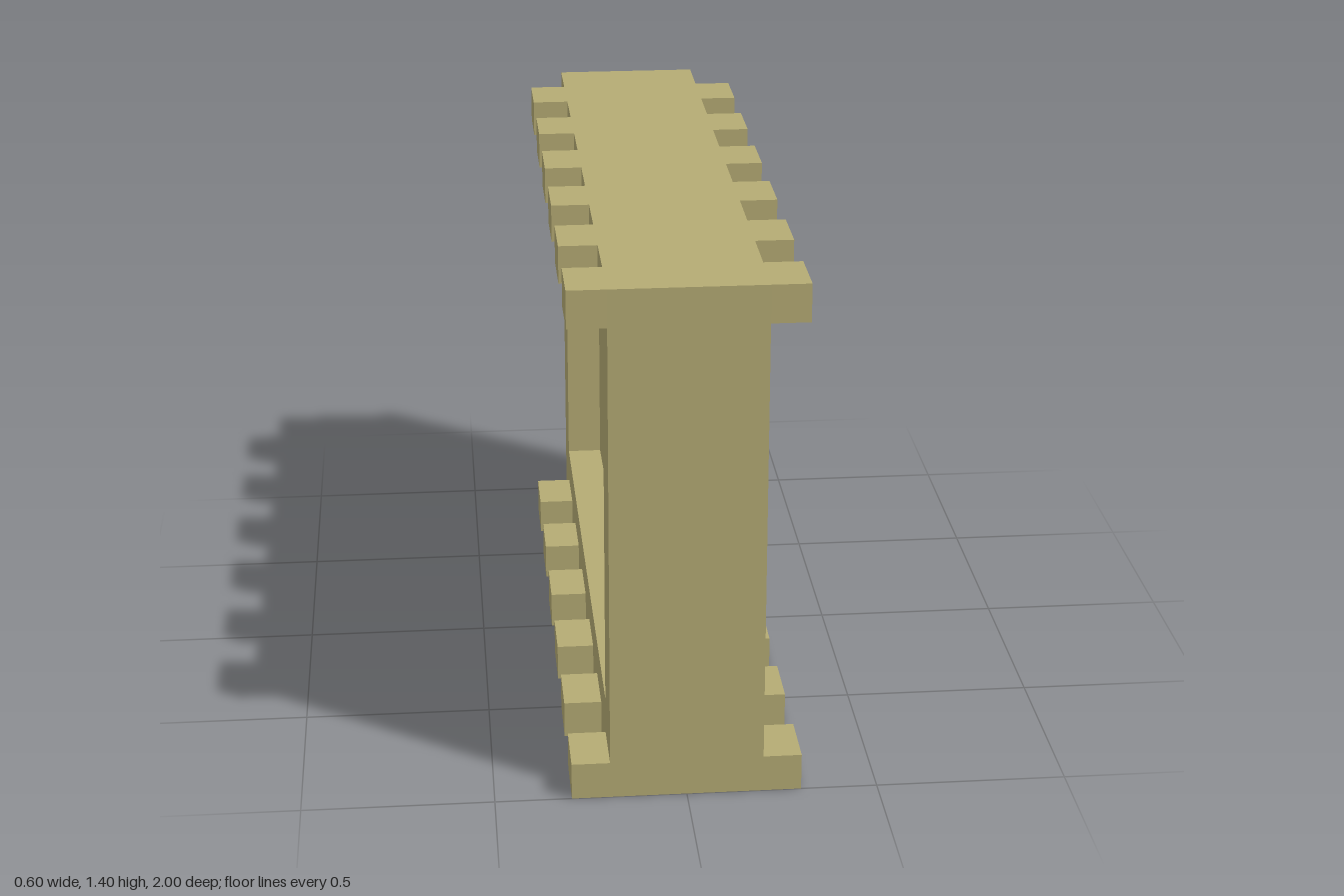
import * as THREE from 'three';

const LENGTH = 2, HEIGHT = 1.4, WIDTH = 0.4;
const TOOTH = LENGTH / 12; // teeth and gaps share one length
const TOOTH_SIZE = 0.1;
const RECESS = 0.1;

function rect(path, halfW, y0, y1) {
  path.moveTo(-halfW, y0);
  path.lineTo(halfW, y0);
  path.lineTo(halfW, y1);
  path.lineTo(-halfW, y1);
  path.closePath();
  return path;
}

export function createModel() {
  const model = new THREE.Group();
  model.name = 'wallBlock';
  const sand = new THREE.MeshStandardMaterial({ color: 0xb5ab74 });
  sand.name = 'sand';

  // Outer frame with a rectangular opening through its width
  const outline = rect(new THREE.Shape(), LENGTH / 2, 0, HEIGHT);
  outline.holes.push(rect(new THREE.Path(), LENGTH / 2 - TOOTH, 0.2, 1.2));
  const frameGeometry = new THREE.ExtrudeGeometry(outline, { depth: WIDTH, bevelEnabled: false });
  frameGeometry.translate(0, 0, -WIDTH / 2).rotateY(Math.PI / 2);
  const frame = new THREE.Mesh(frameGeometry, sand);
  frame.name = 'frame';
  model.add(frame);

  // Panel set back from both sides of the frame
  const panel = new THREE.Mesh(
    new THREE.BoxGeometry(WIDTH - 2 * RECESS, 1, LENGTH - 2 * TOOTH), sand);
  panel.name = 'recessedPanel';
  panel.position.y = HEIGHT / 2;
  model.add(panel);

  // Rows of teeth along the top and bottom edges of both sides
  const toothGeometry = new THREE.BoxGeometry(TOOTH_SIZE, TOOTH_SIZE, TOOTH);
  for (const side of [1, -1]) {
    for (const [level, y] of [['bottom', TOOTH_SIZE / 2], ['top', HEIGHT - TOOTH_SIZE / 2]]) {
      const row = new THREE.Group();
      row.name = `${level}${side > 0 ? 'Left' : 'Right'}Teeth`;
      for (let i = 0; i < 6; i++) {
        const tooth = new THREE.Mesh(toothGeometry, sand);
        tooth.name = 'tooth';
        tooth.position.set(side * (WIDTH + TOOTH_SIZE) / 2, y, LENGTH / 2 - TOOTH * (2 * i + 0.5));
        row.add(tooth);
      }
      model.add(row);
    }
  }
  return model;
}
